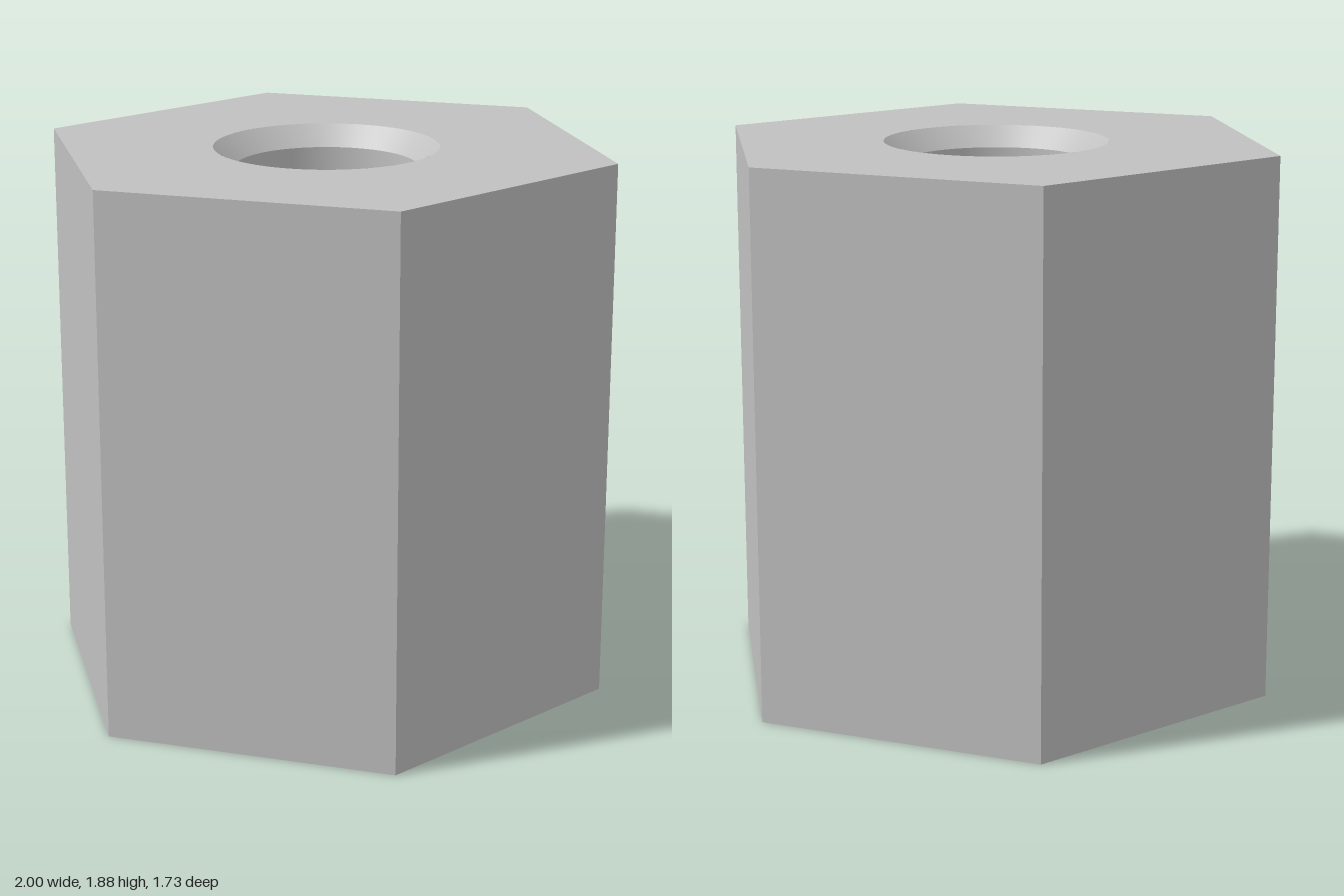
import * as THREE from 'three';
import { toCreasedNormals } from 'three/addons/utils/BufferGeometryUtils.js';

const HEIGHT = 1.875;
const TOP_RIM = 0.385, BOTTOM_RIM = 0.552;
const THREAD = { start: 0.2, end: 0.95, minor: 0.385, major: 0.44, pitch: 0.14 };
const SEGMENTS = 72;

// Radius of the lower countersink at a given height
const countersink = (y) => BOTTOM_RIM - 0.53 * y;

// Hexagonal face with a round opening
function hexFace(holeRadius) {
  const shape = new THREE.Shape();
  for (let i = 0; i < 6; i++) {
    const a = (i * Math.PI) / 3;
    if (i === 0) shape.moveTo(1, 0);
    else shape.lineTo(Math.cos(a), Math.sin(a));
  }
  shape.closePath();
  shape.holes.push(new THREE.Path().absarc(0, 0, holeRadius, 0, Math.PI * 2, true));
  return new THREE.ShapeGeometry(shape, SEGMENTS);
}

// Turned surface; a profile running downwards faces the axis
function turned(profile) {
  const points = profile.map(([r, y]) => new THREE.Vector2(r, y));
  return toCreasedNormals(new THREE.LatheGeometry(points, SEGMENTS), 0.5);
}

// Helical V-thread whose first turns are cut away by the countersink
function internalThread() {
  const { start, end, minor, major, pitch } = THREAD;
  const perTurn = 8;
  const rows = Math.ceil(((end - start) / pitch + 1) * perTurn);
  const positions = [], index = [];
  for (let j = 0; j <= rows; j++) {
    for (let i = 0; i <= SEGMENTS; i++) {
      const turn = i / SEGMENTS, a = turn * Math.PI * 2;
      const y = THREE.MathUtils.clamp(start + (j / perTurn - turn) * pitch, start, end);
      const u = (y - start) / pitch + turn;
      const wave = Math.abs(2 * (u - Math.floor(u)) - 1);
      const r = Math.max(minor + (major - minor) * wave, countersink(y));
      positions.push(r * Math.cos(a), y, r * Math.sin(a));
      if (i < SEGMENTS && j < rows) {
        const p = j * (SEGMENTS + 1) + i, q = p + SEGMENTS + 1;
        index.push(p, p + 1, q, p + 1, q + 1, q);
      }
    }
  }
  const geometry = new THREE.BufferGeometry();
  geometry.setAttribute('position', new THREE.Float32BufferAttribute(positions, 3));
  geometry.setIndex(index);
  return toCreasedNormals(geometry, 0.5);
}

export function createModel() {
  const group = new THREE.Group();
  group.name = 'hexCoupling';
  const steel = new THREE.MeshStandardMaterial({ color: 0xc0c0c0, side: THREE.DoubleSide });
  steel.name = 'steel grey';

  const add = (name, geometry) => {
    const mesh = new THREE.Mesh(geometry, steel);
    mesh.name = name;
    group.add(mesh);
    return mesh;
  };

  // Six flat outer sides, corners on the x axis
  const sides = new THREE.CylinderGeometry(1, 1, HEIGHT, 6, 1, true, Math.PI / 2);
  add('hexSides', toCreasedNormals(sides, 0.3)).position.y = HEIGHT / 2;

  // End faces
  add('topFace', hexFace(TOP_RIM).rotateX(-Math.PI / 2)).position.y = HEIGHT;
  add('bottomFace', hexFace(BOTTOM_RIM).rotateX(Math.PI / 2));

  // Chamfered upper bore, its floor, the through hole and the lower ceiling
  add('upperBore', turned([
    [TOP_RIM, HEIGHT], [0.312, 1.805], [0.312, 1.15],
    [0.117, 1.15], [0.117, THREAD.end], [THREAD.major, THREAD.end],
  ]));

  // Lower threaded bore
  add('lowerCountersink', turned([[countersink(THREAD.start), THREAD.start], [BOTTOM_RIM, 0]]));
  add('lowerThread', internalThread());

  return group;
}
